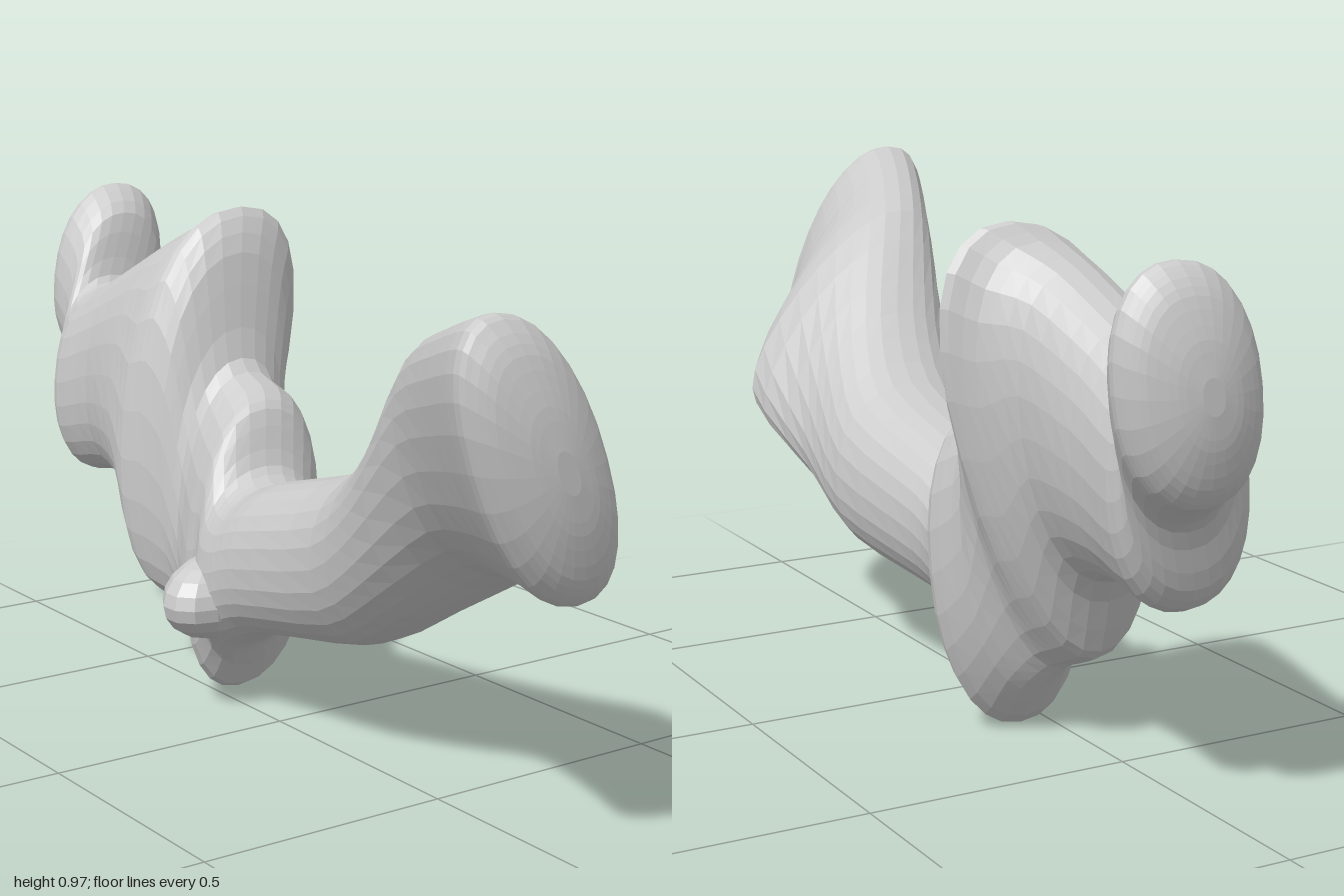
import * as THREE from 'three';

const SIDES = 28, STEPS = 3, SQUARENESS = 0.9;

// Cross-sections from front to back:
// z, left x, right x, bottom y, top y, x of the highest point, widening towards the top
const SECTIONS = [
  // flared front end
  [0.92, -0.32, 0.0, 0.48, 0.967, -0.25, 0],
  [0.80, -0.28, 0.07, 0.467, 0.93, -0.21, -0.1],
  [0.62, -0.22, 0.195, 0.43, 0.86, -0.13, -0.25],
  // slender shaft
  [0.42, -0.145, 0.19, 0.31, 0.675, -0.02, -0.1],
  [0.26, -0.115, 0.20, 0.22, 0.56, 0.03, 0],
  [0.0, -0.12, 0.17, 0.18, 0.485, 0.03, 0],
  [-0.08, -0.12, 0.17, 0.15, 0.46, 0.04, 0],
  [-0.135, -0.11, 0.185, 0.115, 0.485, 0.06, 0],
  // upright joint
  [-0.18, -0.08, 0.22, 0.06, 0.59, 0.09, 0],
  [-0.23, -0.073, 0.243, 0.0, 0.625, 0.115, 0],
  [-0.31, -0.04, 0.225, 0.09, 0.67, 0.12, 0],
  // tall flange
  [-0.355, -0.06, 0.25, 0.14, 0.88, 0.15, 0.2],
  [-0.40, -0.088, 0.288, 0.16, 0.967, 0.18, 0.25],
  [-0.44, -0.10, 0.25, 0.19, 0.935, 0.14, 0.15],
  [-0.51, -0.08, 0.22, 0.34, 0.895, 0.11, 0],
  // rear neck
  [-0.65, -0.055, 0.205, 0.375, 0.82, 0.09, 0],
  [-0.77, -0.06, 0.21, 0.36, 0.765, 0.09, 0],
  [-0.82, -0.03, 0.21, 0.41, 0.78, 0.11, 0],
  // rear disc
  [-0.855, 0.02, 0.26, 0.52, 0.91, 0.17, 0],
  [-0.92, 0.03, 0.30, 0.57, 0.967, 0.19, 0],
];

// Round off an end: the section shrinks about its centre as it nears z = zEnd
function dome([z, x0, x1, y0, y1, xTop, widen], zEnd) {
  const cx = (x0 + x1) / 2, cy = (y0 + y1) / 2;
  return [0.35, 0.65, 0.9, 1].map(f => {
    const k = Math.max(Math.sqrt(1 - f * f), 0.15);
    const aboutX = x => cx + (x - cx) * k, aboutY = y => cy + (y - cy) * k;
    return [z + (zEnd - z) * f, aboutX(x0), aboutX(x1), aboutY(y0), aboutY(y1), aboutX(xTop), widen];
  });
}

const rounded = v => Math.sign(v) * Math.abs(v) ** SQUARENESS;

// Skin leaning oval rings into a closed surface
function loft(sections) {
  const smooth = pick => new THREE.CatmullRomCurve3(
    sections.map(s => new THREE.Vector3(...pick(s))), false, 'catmullrom', 0.4);
  const xs = smooth(s => [s[1], s[2], s[5]]);
  const ys = smooth(s => [s[3], s[4], s[0]]);
  const widths = smooth(s => [s[6], 0, 0]);
  const rings = (sections.length - 1) * STEPS;
  const pos = [], index = [];
  for (let i = 0; i <= rings; i++) {
    const { x: x0, y: x1, z: xTop } = xs.getPoint(i / rings);
    const { x: y0, y: y1, z } = ys.getPoint(i / rings);
    const widen = widths.getPoint(i / rings).x;
    const cx = (x0 + x1) / 2, half = (x1 - x0) / 2, lean = xTop - cx;
    const a = Math.sqrt(Math.max(half * half - lean * lean, 1e-5));
    for (let j = 0; j < SIDES; j++) {
      const t = (j / SIDES) * Math.PI * 2;
      const c = rounded(Math.cos(t)), s = rounded(Math.sin(t));
      pos.push(
        cx + a * c * (1 + widen * s) + lean * s,
        (y0 + y1) / 2 + ((y1 - y0) / 2) * s,
        z);
      if (i < rings) {
        const p = i * SIDES + j, q = i * SIDES + ((j + 1) % SIDES);
        index.push(p, p + SIDES, q, q, p + SIDES, q + SIDES);
      }
    }
  }
  // end caps
  const last = rings * SIDES;
  for (let j = 1; j < SIDES - 1; j++) {
    index.push(0, j, j + 1, last, last + j + 1, last + j);
  }
  const geo = new THREE.BufferGeometry();
  geo.setAttribute('position', new THREE.Float32BufferAttribute(pos, 3));
  geo.setIndex(index);
  geo.computeVertexNormals();
  return geo;
}

export function createModel() {
  const group = new THREE.Group();
  group.name = 'boneChain';
  const material = new THREE.MeshStandardMaterial({ color: 0xcccccc, flatShading: true });

  const sections = [
    ...dome(SECTIONS[0], 1).reverse(),
    ...SECTIONS,
    ...dome(SECTIONS[SECTIONS.length - 1], -1),
  ];
  const body = new THREE.Mesh(loft(sections), material);
  body.name = 'boneBody';
  group.add(body);

  // Rounded bump growing out of the side of the joint
  const knob = new THREE.Mesh(new THREE.SphereGeometry(1, 14, 10), material);
  knob.name = 'sideKnob';
  knob.scale.set(0.14, 0.085, 0.085);
  knob.position.set(-0.053, 0.235, -0.15);
  knob.rotation.y = 0.4;
  group.add(knob);

  return group;
}
